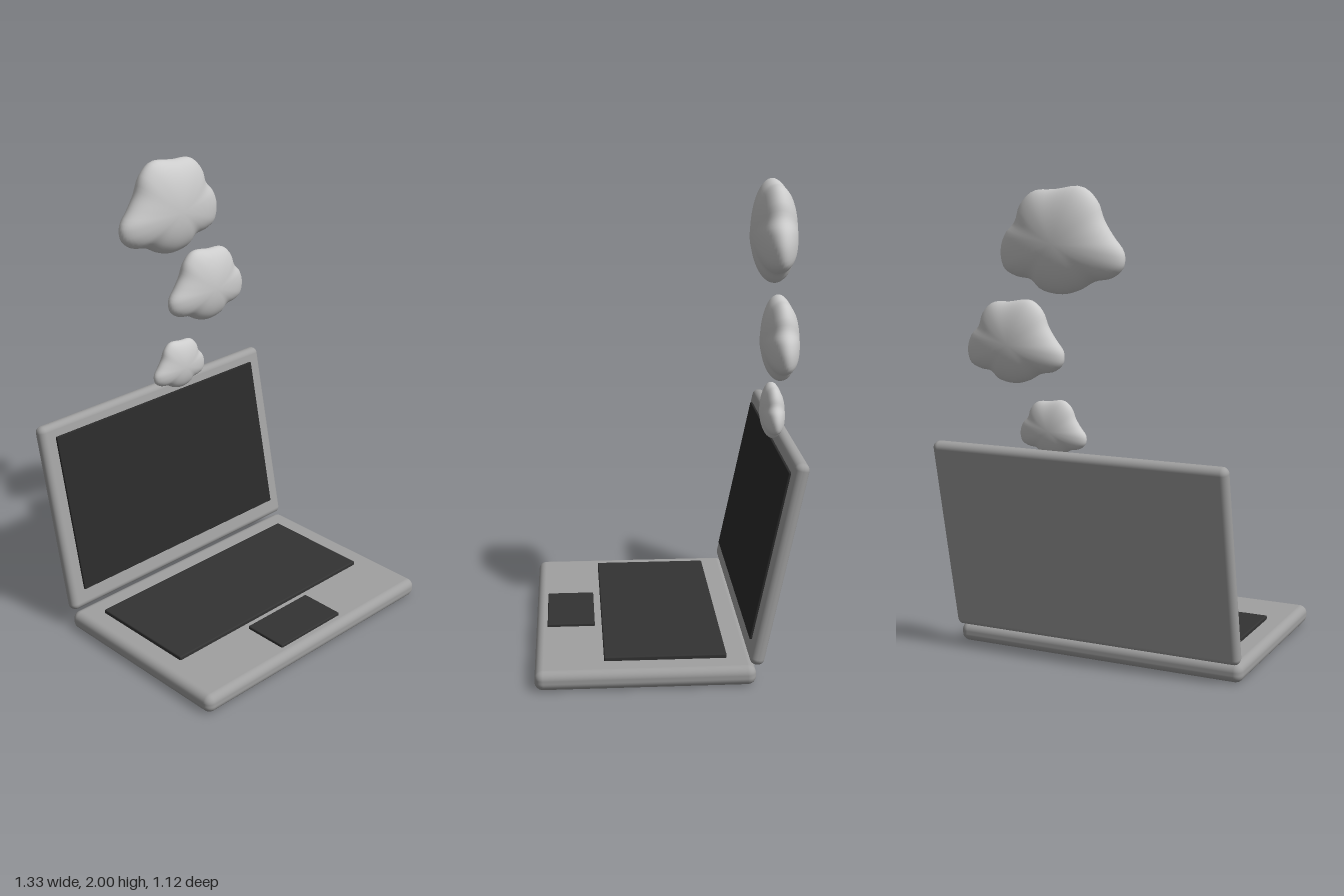
import * as THREE from 'three';
import { RoundedBoxGeometry } from 'three/addons/geometries/RoundedBoxGeometry.js';
import { mergeVertices } from 'three/addons/utils/BufferGeometryUtils.js';

const body = new THREE.MeshStandardMaterial({ color: 0xa0a0a0 });
const dark = new THREE.MeshStandardMaterial({ color: 0x333333 });
const black = new THREE.MeshStandardMaterial({ color: 0x2a2a2a });
const puff = new THREE.MeshStandardMaterial({ color: 0xcccccc });

function roundedBox(name, material, size, radius, position) {
  const mesh = new THREE.Mesh(new RoundedBoxGeometry(...size, 5, radius), material);
  mesh.name = name;
  mesh.position.set(...position);
  return mesh;
}

// Lumpy cloud outline, counter-clockwise from the right tip, half-width 1
const outline = new THREE.CatmullRomCurve3([
  [1.01, -0.13], [0.93, 0.12], [0.76, 0.31], [0.68, 0.54], [0.47, 0.74], [0.12, 0.77],
  [-0.32, 0.81], [-0.55, 0.62], [-0.66, 0.34], [-0.81, 0.11], [-0.98, -0.12], [-0.97, -0.33],
  [-0.8, -0.48], [-0.52, -0.54], [-0.28, -0.67], [0, -0.74], [0.34, -0.68], [0.5, -0.54],
  [0.74, -0.5], [0.95, -0.39],
].map(([x, y]) => new THREE.Vector3(x, y, 0)), true);

// Flattened blob: rings shrink from the outline to a softer oval front and back
function cloudGeometry() {
  let geo = new THREE.SphereGeometry(1, 72, 32);
  const pos = geo.attributes.position, uv = geo.attributes.uv;
  for (let i = 0; i < pos.count; i++) {
    const u = uv.getX(i) % 1, theta = (1 - uv.getY(i)) * Math.PI;
    const s = Math.sin(theta), p = outline.getPoint(u);
    const a = Math.atan2(p.y, p.x);
    const soft = new THREE.Vector3(0.9 * Math.cos(a), 0.72 * Math.sin(a), 0);
    p.lerp(soft, (1 - s) * 0.8).multiplyScalar(Math.pow(s, 0.95));
    pos.setXYZ(i, p.x, p.y, 0.345 * Math.cos(theta));
  }
  geo.deleteAttribute('uv');
  geo.deleteAttribute('normal');
  geo = mergeVertices(geo, 1e-4);
  geo.computeVertexNormals();
  return geo;
}

export function createModel() {
  const model = new THREE.Group();
  model.name = 'laptopWithClouds';

  // Lower half with keyboard and trackpad
  const base = new THREE.Group();
  base.name = 'base';
  base.add(
    roundedBox('baseCase', body, [1.325, 0.083, 0.905], 0.035, [0, 0.0425, 0.11]),
    roundedBox('keyboard', dark, [1.115, 0.03, 0.507], 0.006, [-0.002, 0.086, 0.0235]),
    roundedBox('trackpad', dark, [0.366, 0.024, 0.206], 0.005, [0, 0.085, 0.41]),
  );
  model.add(base);

  // Screen half, leaning back
  const lid = new THREE.Group();
  lid.name = 'lid';
  lid.position.set(0, 0.514, -0.428);
  lid.rotation.x = -0.205;
  lid.add(
    roundedBox('lidCase', body, [1.325, 0.868, 0.06], 0.028, [0, 0, 0]),
    roundedBox('screen', black, [1.186, 0.724, 0.02], 0.004, [0, 0.013, 0.03]),
  );
  model.add(lid);

  // Three clouds growing upward
  const geo = cloudGeometry();
  [
    ['smallCloud', 0.12, 1.02, 0.15],
    ['mediumCloud', 0.29, 1.365, 0.222],
    ['largeCloud', 0.073, 1.777, 0.275],
  ].forEach(([name, x, y, scale]) => {
    const cloud = new THREE.Mesh(geo, puff);
    cloud.name = name;
    cloud.position.set(x, y, -0.463);
    cloud.scale.setScalar(scale);
    model.add(cloud);
  });
  return model;
}
